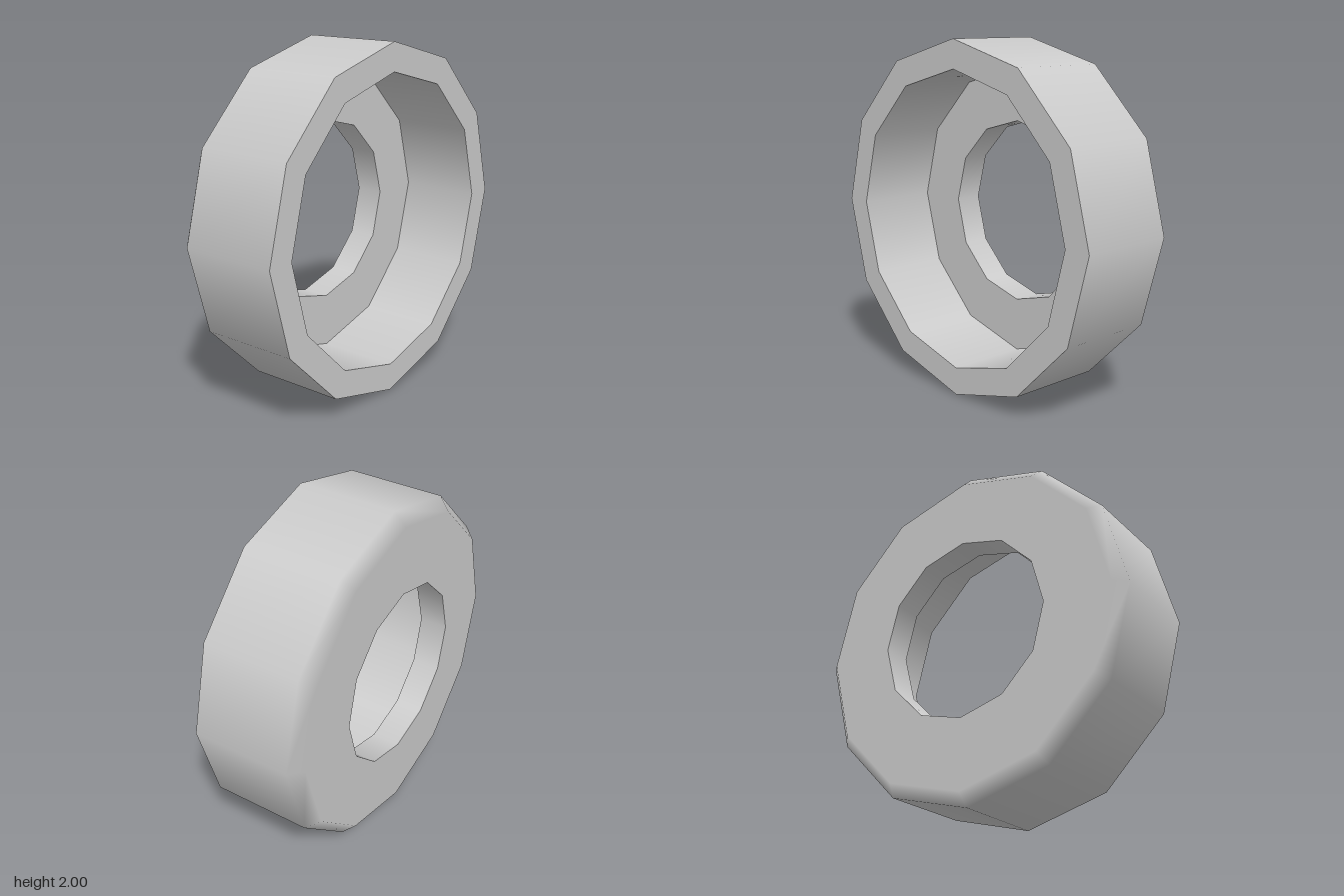
import * as THREE from 'three';

const SIDES = 12;

// Closed cross-section as [radius, z]; each strip is named after the edge starting at that point
const PROFILE = [
  ['backFace', 0.53, -0.32],
  ['bevel', 0.93, -0.32],
  ['outerWall', 1, -0.25],
  ['frontRim', 1, 0.32],
  ['recessWall', 0.84, 0.32],
  ['recessFloor', 0.84, -0.155],
  ['bore', 0.53, -0.155],
];

// Blend the bevel shading from the back face into the outer wall
function softenBevel(geometry) {
  const pos = geometry.attributes.position;
  const normal = geometry.attributes.normal;
  for (let i = 0; i < pos.count; i++) {
    if (i % 2 === 0) {
      normal.setXYZ(i, 0, -1, 0);
    } else {
      const r = Math.hypot(pos.getX(i), pos.getZ(i));
      normal.setXYZ(i, pos.getX(i) / r, 0, pos.getZ(i) / r);
    }
  }
}

export function createModel() {
  const ring = new THREE.Group();
  ring.name = 'ring';
  const material = new THREE.MeshStandardMaterial({ color: 0xcccccc });

  // One strip per profile edge keeps the corners between them sharp
  PROFILE.forEach(([name, r, z], i) => {
    const [, nextR, nextZ] = PROFILE[(i + 1) % PROFILE.length];
    const geometry = new THREE.LatheGeometry(
      [new THREE.Vector2(r, z), new THREE.Vector2(nextR, nextZ)], SIDES);
    if (name === 'bevel') softenBevel(geometry);
    geometry.rotateX(Math.PI / 2);
    const mesh = new THREE.Mesh(geometry, material);
    mesh.name = name;
    ring.add(mesh);
  });

  ring.position.y = 1;
  const model = new THREE.Group();
  model.add(ring);
  return model;
}
